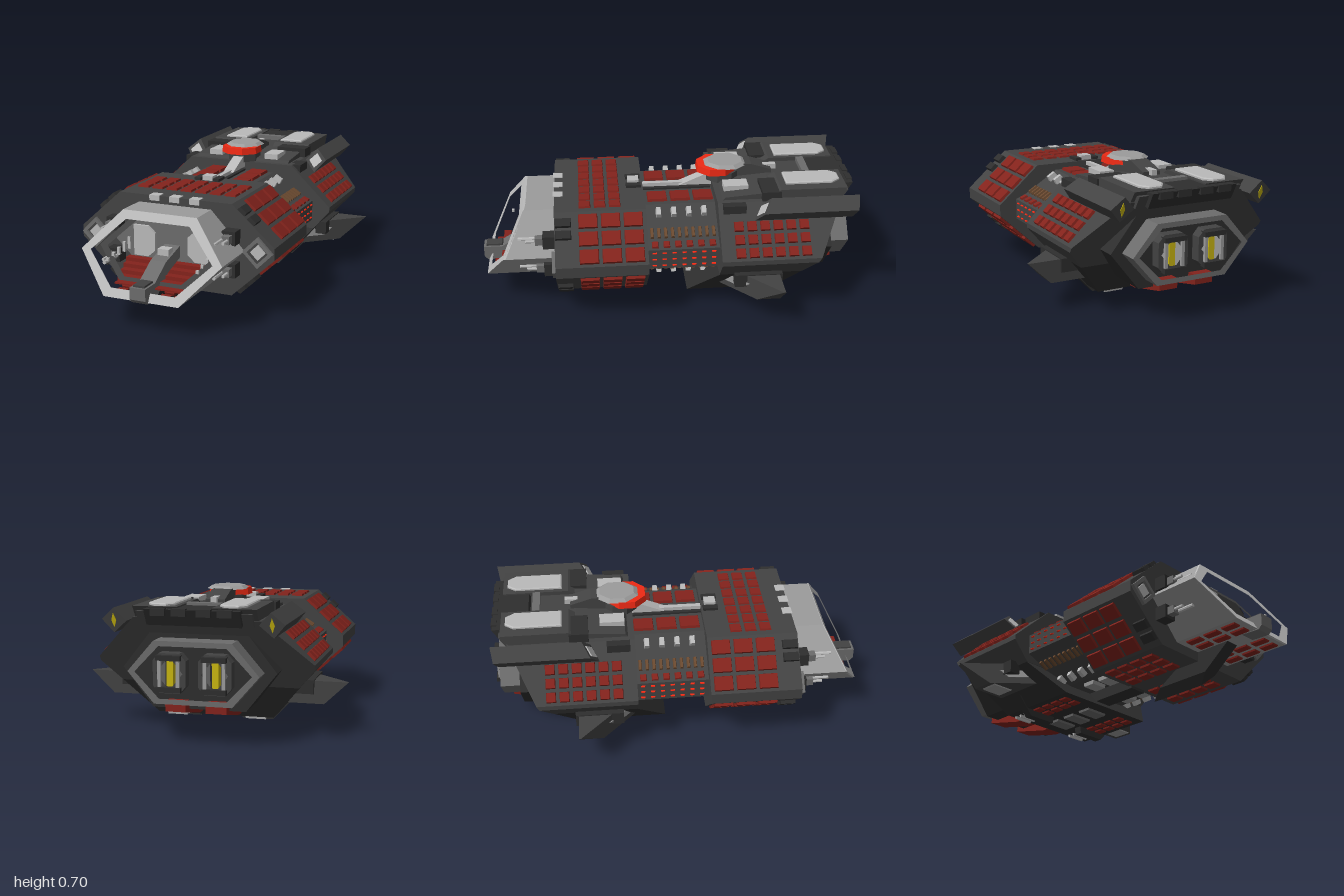
import * as THREE from 'three';
import { mergeGeometries } from 'three/addons/utils/BufferGeometryUtils.js';

const mat = (color) => new THREE.MeshStandardMaterial({ color, flatShading: true });
const M = {
  hull: mat(0x434343), dark: mat(0x2e2e2e), mid: mat(0x6c6c6c), grey: mat(0x9c9c9c), light: mat(0xbababa),
  red: mat(0x84231c), bright: mat(0xee2a14), brown: mat(0x6b4a30), yellow: mat(0xc9b612),
};

export function createModel() {
  const root = new THREE.Group();
  const add = (name, geo, m) => {
    const mesh = new THREE.Mesh(geo, M[m]);
    mesh.name = name;
    root.add(mesh);
    return mesh;
  };
  const val = (f, x, y) => (typeof f === 'function' ? f(x, y) : f);
  const sym = (half) => [...half, ...half.map(([x, y]) => [-x, y]).reverse()];
  const flip = (poly, s) => poly.map(([x, y]) => [s * x, y]);
  const shapeOf = (pts) => new THREE.Shape(pts.map(([x, y]) => new THREE.Vector2(x, y)));

  // Prism along z; each end is a number or a rule of x and y, so ends can slant
  function prism(name, poly, zb, zf, m, hole) {
    const shape = shapeOf(poly);
    if (hole) shape.holes.push(new THREE.Path(hole.map(([x, y]) => new THREE.Vector2(x, y))));
    const geo = new THREE.ExtrudeGeometry(shape, { depth: 1, bevelEnabled: false });
    const p = geo.attributes.position;
    for (let i = 0; i < p.count; i++) {
      p.setZ(i, val(p.getZ(i) < 0.5 ? zb : zf, p.getX(i), p.getY(i)));
    }
    geo.computeVertexNormals();
    return add(name, geo, m);
  }
  // Side profile of [z, y] points, extruded from x0 to x1
  function profile(name, pts, x0, x1, m) {
    const geo = new THREE.ExtrudeGeometry(shapeOf(pts), { depth: x1 - x0, bevelEnabled: false });
    geo.rotateY(-Math.PI / 2).translate(x1, 0, 0);
    return add(name, geo, m);
  }
  // Box given by its limits
  const box = (name, [x0, x1], [y0, y1], [z0, z1], m) => add(name,
    new THREE.BoxGeometry(x1 - x0, y1 - y0, z1 - z0).translate((x0 + x1) / 2, (y0 + y1) / 2, (z0 + z1) / 2), m);
  const pairBox = (name, [a, b], y, z, m) => { box(name, [a, b], y, z, m); box(name, [-b, -a], y, z, m); };
  const both = (fn) => [1, -1].forEach(fn);

  // Grid of chamfered tiles on the face from a to b (clockwise seen from the front)
  function tiles(name, a, b, [z0, z1], nu, nz, m, h = 0.014, gap = 0.012) {
    const len = Math.hypot(b[0] - a[0], b[1] - a[1]), w = len / nu, d = (z1 - z0) / nz, list = [];
    for (let i = 0; i < nu; i++) for (let j = 0; j < nz; j++) {
      const g = new THREE.BoxGeometry(w - gap, h * 2, d - gap), p = g.attributes.position;
      for (let k = 0; k < p.count; k++) if (p.getY(k) > 0) {
        p.setX(k, p.getX(k) - Math.sign(p.getX(k)) * Math.min(0.006, w / 6));
        p.setZ(k, p.getZ(k) - Math.sign(p.getZ(k)) * Math.min(0.006, d / 6));
      }
      list.push(g.translate((i + 0.5) * w, 0, z0 + (j + 0.5) * d));
    }
    const geo = mergeGeometries(list);
    geo.rotateZ(Math.atan2(b[1] - a[1], b[0] - a[0])).translate(a[0], a[1], 0);
    geo.computeVertexNormals();
    add(name, geo, m);
  }
  const pairTiles = (name, a, b, ...rest) => {
    tiles(name, a, b, ...rest);
    tiles(name, [-b[0], b[1]], [-a[0], a[1]], ...rest);
  };
  const diamond = (x, y, r, q = r) => [[x, y + r], [x + q, y], [x, y - r], [x - q, y]];
  const hex = (top, side, r, c = 0.355) => sym([[top, c + r], [side, c], [top, c - r]]);

  // Front hull block
  prism('frontHull', sym([[0.31, 0.585], [0.535, 0.385], [0.535, 0.325], [0.31, 0.115]]), 0.12, 0.595, 'hull');
  tiles('frontRoofPlates', [-0.285, 0.585], [0.285, 0.585], [0.24, 0.475], 7, 3, 'red', 0.01);
  pairTiles('frontUpperPlates', [0.315, 0.58], [0.53, 0.39], [0.13, 0.48], 3, 3, 'red');
  pairTiles('frontLowerPlates', [0.53, 0.32], [0.315, 0.12], [0.13, 0.48], 3, 3, 'red');
  pairTiles('frontBellyPlates', [0.28, 0.115], [0.05, 0.115], [0.15, 0.5], 3, 4, 'red', 0.01);
  for (const x of [-0.11, 0, 0.11]) box('roofNotch', [x - 0.028, x + 0.028], [0.56, 0.588], [0.55, 0.602], 'light');
  pairTiles('frontTeeth', [0.33, 0.567], [0.43, 0.478], [0.5, 0.6], 2, 1, 'dark', 0.02);
  pairTiles('frontTeethLower', [0.43, 0.229], [0.33, 0.133], [0.5, 0.6], 2, 1, 'dark', 0.02);
  both((s) => {
    prism('sidePortFrame', flip(diamond(0.45, 0.357, 0.08), s), 0.58, 0.612, 'mid', flip(diamond(0.45, 0.357, 0.055), s));
    prism('sidePort', flip(diamond(0.45, 0.357, 0.04), s), 0.58, 0.605, 'light');
  });
  // Forward guns beside the snout
  for (const y of [0.43, 0.265]) both((s) => {
    const x = s * 0.32;
    box('gunMount', [x - 0.035, x + 0.035], [y - 0.035, y + 0.035], [0.58, 0.66], 'dark');
    box('gunBody', [x - 0.02, x + 0.02], [y - 0.02, y + 0.02], [0.64, 0.7], 'mid');
    add('gunBarrel', new THREE.CylinderGeometry(0.01, 0.01, 0.16, 8).rotateX(Math.PI / 2).translate(s * 0.3, y, 0.71), 'light');
    add('gunBarrel', new THREE.CylinderGeometry(0.008, 0.008, 0.12, 8).rotateX(Math.PI / 2).translate(s * 0.33, y, 0.69), 'light');
  });

  // Snout with slanted open mouth
  const mouth = (x, y) => 0.865 - (y - 0.355) * 0.56;
  prism('snout', hex(0.2, 0.378, 0.19), 0.58, mouth, 'grey', hex(0.172, 0.328, 0.15));
  prism('mouthRim', hex(0.2, 0.378, 0.19), (x, y) => mouth(x, y) - 0.01, (x, y) => mouth(x, y) + 0.003, 'light', hex(0.172, 0.328, 0.15));
  prism('mouthLiner', hex(0.172, 0.328, 0.15), 0.6, (x, y) => mouth(x, y) - 0.09, 'hull', hex(0.155, 0.285, 0.125));
  prism('mouthBackWall', hex(0.172, 0.328, 0.15), 0.6, 0.625, 'mid');
  both((s) => prism('mouthPanel', flip([[0.09, 0.40], [0.13, 0.435], [0.21, 0.435], [0.21, 0.275], [0.13, 0.275], [0.09, 0.31]], s), 0.62, 0.64, 'light'));
  for (let i = 0; i < 5; i++) {
    const w = 0.18 + i * 0.014, y = 0.215 + i * 0.014, z = 0.9 - i * 0.055;
    box('mouthFloorStep', [-w, w], [0.207, y], [z - 0.04, z], 'red');
    pairBox('mouthSideRod', [0.235, 0.25], [0.30, 0.315 + i * 0.012], [z - 0.06, z - 0.045], 'light');
  }
  pairTiles('snoutBellyPlates', [0.19, 0.165], [0.045, 0.165], [0.62, 0.95], 2, 3, 'red', 0.008, 0.02);
  // Central probe arm
  profile('probeArm', [[0.62, 0.35], [0.78, 0.31], [0.9, 0.24], [1, 0.24], [1, 0.18], [0.98, 0.16], [0.88, 0.165], [0.76, 0.25], [0.62, 0.29]], -0.042, 0.042, 'mid');
  box('probeBracket', [-0.03, 0.03], [0.29, 0.355], [0.68, 0.73], 'light');
  profile('probeCap', [[0.86, 0.19], [0.9, 0.25], [0.985, 0.25], [0.985, 0.19]], -0.03, 0.03, 'hull');

  // Keel blade with a V edge
  const keelFront = (x, y) => 0.58 + y * 1.25, keelBack = (x, y) => 0.26 + y * 1.6;
  prism('keel', sym([[0.038, 0.165], [0.038, 0.045], [0.001, 0]]), keelBack, keelFront, 'dark');

  // Narrow waist
  prism('waist', sym([[0.2, 0.55], [0.38, 0.435], [0.44, 0.41], [0.44, 0.3], [0.38, 0.275], [0.2, 0.16]]), -0.3, 0.14, 'hull');
  tiles('waistRoofPlates', [-0.18, 0.55], [-0.065, 0.55], [-0.26, 0.11], 1, 3, 'red');
  tiles('waistRoofPlates', [0.065, 0.55], [0.18, 0.55], [-0.26, 0.11], 1, 3, 'red');
  const W = [-0.25, 0.11];
  pairTiles('waistRibs', [0.205, 0.547], [0.29, 0.492], [-0.23, 0.09], 1, 4, 'light', 0.03, 0.045);
  pairTiles('brownVents', [0.315, 0.476], [0.38, 0.435], W, 1, 10, 'brown', 0.014);
  pairTiles('shoulderLights', [0.38, 0.435], [0.44, 0.41], W, 1, 6, 'red', 0.01, 0.02);
  pairTiles('windows', [0.44, 0.41], [0.44, 0.3], W, 3, 7, 'bright', 0.008, 0.022);
  pairTiles('brownVentsLower', [0.38, 0.275], [0.315, 0.234], W, 1, 10, 'brown', 0.014);
  pairTiles('waistRibsLower', [0.29, 0.218], [0.205, 0.163], [-0.23, 0.09], 1, 4, 'light', 0.03, 0.045);
  pairTiles('waistBellyPads', [0.19, 0.16], [0.06, 0.16], [-0.12, 0.1], 1, 2, 'grey', 0.02, 0.03);
  box('bellySpine', [-0.05, 0.05], [0.1, 0.17], [-0.2, 0.14], 'dark');

  // Roof spine leading to the bridge
  box('spineBase', [-0.035, 0.035], [0.54, 0.56], [-0.25, 0.14], 'dark');
  box('spineRod', [-0.013, 0.013], [0.55, 0.58], [-0.12, 0.14], 'light');
  box('spineEnd', [-0.03, 0.03], [0.55, 0.61], [0.14, 0.2], 'light');
  pairBox('spineClamp', [0.035, 0.07], [0.55, 0.6], [0.13, 0.21], 'dark');
  profile('bridgeNeck', [[-0.08, 0.57], [-0.22, 0.63], [-0.3, 0.65], [-0.3, 0.57]], -0.03, 0.03, 'light');

  // Rear hull: upper shell and forward-slanting lower shell
  const stern = (x, y) => -0.58 - (y - 0.07) * 0.62;
  prism('rearUpperHull', sym([[0.31, 0.6], [0.54, 0.38], [0.54, 0.355], [0.45, 0.25]]), stern, -0.255, 'hull');
  prism('rearLowerHull', sym([[0.45, 0.25], [0.3, 0.07]]), stern, (x, y) => -0.1 - (y - 0.07) * 0.88, 'dark');
  pairTiles('rearSidePlates', [0.38, 0.533], [0.535, 0.385], [-0.73, -0.32], 3, 6, 'red');
  pairTiles('rearBellyPlates', [0.27, 0.07], [0.14, 0.07], [-0.42, -0.14], 2, 4, 'red', 0.008);
  pairTiles('bellyRibs', [0.27, 0.07], [0.14, 0.07], [-0.58, -0.47], 1, 3, 'light', 0.014, 0.016);
  tiles('bellyHatches', [0.09, 0.07], [-0.09, 0.07], [-0.52, -0.15], 1, 3, 'mid', 0.012, 0.04);
  both((s) => prism('bellyFoot', flip([[0.1, 0.08], [0.36, 0.13], [0.27, 0.032], [0.11, 0.032]], s), -0.46, -0.415, 'dark'));

  // Roof deck, humps and hatches
  profile('roofDeck', [[-0.26, 0.57], [-0.3, 0.615], [-0.55, 0.635], [-0.95, 0.635], [-0.91, 0.57]], -0.28, 0.28, 'hull');
  profile('sternLip', [[-0.78, 0.62], [-0.8, 0.65], [-0.985, 0.65], [-0.94, 0.57]], -0.23, 0.23, 'dark');
  for (const x of [-0.16, -0.06, 0.06, 0.16]) box('sternStud', [x - 0.035, x + 0.035], [0.62, 0.655], [-0.99, -0.96], 'dark');
  both((s) => {
    const [a, b] = s > 0 ? [0.085, 0.3] : [-0.3, -0.085];
    profile('roofHump', [[-0.5, 0.6], [-0.59, 0.657], [-0.94, 0.657], [-0.9, 0.6]], a, b, 'hull');
    const frame = shapeOf([[0.115, 0.63], [0.235, 0.63], [0.235, 0.87], [0.205, 0.91], [0.145, 0.91], [0.115, 0.87]].map(([x, z]) => [s * x, z]));
    add('roofHatch', new THREE.ExtrudeGeometry(frame, { depth: 0.01, bevelEnabled: true, bevelSize: 0.006, bevelThickness: 0.005, bevelSegments: 1 })
      .rotateX(-Math.PI / 2).translate(0, 0.655, 0), 'light');
  });
  pairBox('forwardHatch', [0.13, 0.21], [0.6, 0.645], [-0.43, -0.3], 'light');
  pairBox('roofBlock', [0.14, 0.31], [0.59, 0.65], [-0.59, -0.49], 'dark');
  pairBox('shoulderBlock', [0.29, 0.355], [0.54, 0.6], [-0.4, -0.28], 'dark');
  box('deckBlock', [-0.085, 0.085], [0.62, 0.66], [-0.78, -0.74], 'mid');

  // Bridge: red visor under an eight-sided cap
  const bridge = (name, r0, r1, y0, y1, z, sz, m) => add(name,
    new THREE.CylinderGeometry(r1, r0, y1 - y0, 8).rotateY(Math.PI / 8).scale(1, 1, sz).translate(0, (y0 + y1) / 2, z), m);
  bridge('bridgeBase', 0.09, 0.09, 0.6, 0.655, -0.32, 1.1, 'hull');
  bridge('bridgeVisor', 0.113, 0.108, 0.652, 0.688, -0.28, 1, 'bright');
  bridge('bridgeCap', 0.108, 0.085, 0.686, 0.702, -0.33, 1.15, 'grey');
  profile('bridgeTail', [[-0.36, 0.62], [-0.36, 0.695], [-0.47, 0.69], [-0.58, 0.655], [-0.58, 0.62]], -0.05, 0.05, 'hull');
  box('bridgeRod', [-0.015, 0.015], [0.64, 0.668], [-0.61, -0.46], 'light');

  // Diamond-section tail booms
  both((s) => {
    const nose = (x, y) => -0.44 - (y - 0.53) * 0.7, tail = (x, y) => -0.955 - (y - 0.53) * 0.25;
    prism('tailBoom', flip([[0.375, 0.652], [0.44, 0.595], [0.385, 0.53], [0.318, 0.59]], s), tail, nose, 'hull');
    prism('boomLens', flip(diamond(0.38, 0.591, 0.038), s), -0.6, (x, y) => nose(x, y) + 0.006, 'light');
    prism('boomStripe', flip(diamond(0.38, 0.591, 0.035, 0.012), s), (x, y) => tail(x, y) - 0.004, -0.9, 'yellow');
  });

  // Side wings
  both((s) => {
    const lead = (x) => -0.555 + (0.67 - Math.abs(x)) * 0.95;
    prism('wing', flip([[0.4, 0.265], [0.67, 0.265], [0.55, 0.15], [0.35, 0.15]], s), -0.565, lead, 'hull');
    prism('wingPanel', flip([[0.43, 0.225], [0.515, 0.225], [0.48, 0.185], [0.4, 0.185]], s), -0.5, (x) => lead(x) + 0.006, 'grey');
    prism('wingUnderPlate', flip([[0.4, 0.155], [0.53, 0.155], [0.52, 0.143], [0.41, 0.143]], s), -0.53, -0.43, 'grey');
    profile('wingSocket', [[-0.33, 0.2], [-0.33, 0.27], [-0.58, 0.27], [-0.58, 0.2]], s > 0 ? 0.4 : -0.5, s > 0 ? 0.5 : -0.4, 'dark');
  });

  // Engine bay and twin engines
  prism('engineCollar', hex(0.23, 0.38, 0.19, 0.35), -0.86, -0.6, 'dark');
  prism('engineShroud', hex(0.19, 0.32, 0.15, 0.35), -0.965, -0.7, 'mid', hex(0.165, 0.285, 0.125, 0.35));
  prism('engineBackWall', hex(0.165, 0.285, 0.125, 0.35), -0.92, -0.85, 'dark');
  both((s) => {
    const x = s * 0.11;
    prism('engineFrame', [[x - 0.08, 0.41], [x - 0.05, 0.445], [x + 0.05, 0.445], [x + 0.08, 0.41], [x + 0.08, 0.29], [x + 0.05, 0.255], [x - 0.05, 0.255], [x - 0.08, 0.29]],
      -0.975, -0.9, 'hull', diamond(x, 0.35, 0.08, 0.065));
    box('engineGlow', [x - 0.016, x + 0.016], [0.28, 0.42], [-0.965, -0.91], 'yellow');
    for (const y of [0.275, 0.425]) box('engineBar', [x - 0.06, x + 0.06], [y - 0.012, y + 0.012], [-1, -0.96], 'dark');
    for (const d of [-0.045, 0.045]) box('engineVane', [x + d - 0.008, x + d + 0.008], [0.275, 0.425], [-0.99, -0.92], 'grey');
    profile('tailSkid', [[-0.56, 0.2], [-0.64, 0.1], [-0.68, 0.1], [-0.92, 0.155], [-0.92, 0.205]], s > 0 ? 0.05 : -0.15, s > 0 ? 0.15 : -0.05, 'red');
  });

  return root;
}
